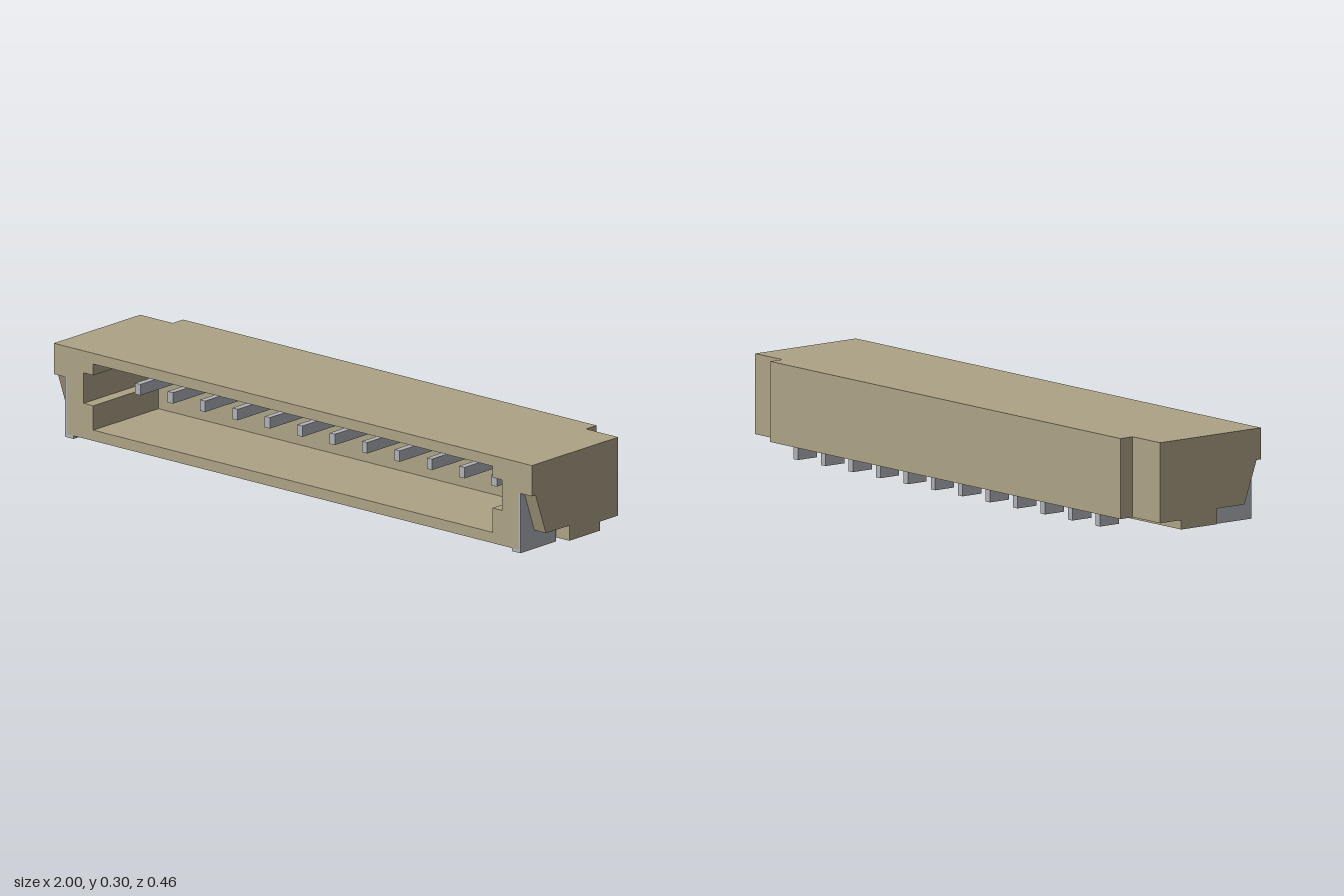
import * as THREE from 'three';

const plastic = new THREE.MeshStandardMaterial({ color: 0xaca285 });
plastic.name = 'beige plastic';
const metal = new THREE.MeshStandardMaterial({ color: 0xb0b2b8 });
metal.name = 'grey metal';

const shapeOf = (pts) => new THREE.Shape(pts.map(([a, b]) => new THREE.Vector2(a, b)));

function addMesh(parent, name, geometry, material) {
  const mesh = new THREE.Mesh(geometry, material);
  mesh.name = name;
  parent.add(mesh);
  return mesh;
}

// Extrudes a [z, y] profile along x from x0 to x1
function sideProfile(pts, x0, x1) {
  const g = new THREE.ExtrudeGeometry(shapeOf(pts), { depth: x1 - x0, bevelEnabled: false });
  return g.rotateY(-Math.PI / 2).translate(x1, 0, 0);
}

function box(x0, x1, y0, y1, z0, z1) {
  return new THREE.BoxGeometry(x1 - x0, y1 - y0, z1 - z0)
    .translate((x0 + x1) / 2, (y0 + y1) / 2, (z0 + z1) / 2);
}

export function createModel() {
  const model = new THREE.Group();
  model.name = 'pinHeaderConnector';

  const top = 0.297, bottom = 0.01, front = 0.23, cavityBack = -0.08, core = 0.945;

  // Hollow front shell with a keyed opening
  const shell = shapeOf([[-core, bottom], [core, bottom], [core, top], [-core, top]]);
  const half = [[0.835, 0.045], [0.835, 0.125], [0.875, 0.125], [0.875, 0.225], [0.835, 0.225], [0.835, 0.262]];
  const opening = [...half, ...half.map(([x, y]) => [-x, y]).reverse()];
  shell.holes.push(shapeOf(opening));
  const shellGeometry = new THREE.ExtrudeGeometry(shell, { depth: front - cavityBack, bevelEnabled: false });
  addMesh(model, 'housingShell', shellGeometry.translate(0, 0, cavityBack), plastic);

  // Solid rear with stepped underside, and the raised back panel
  addMesh(model, 'housingRear', sideProfile([
    [-0.18, 0.04], [-0.094, 0.04], [-0.094, bottom], [cavityBack, bottom], [cavityBack, top], [-0.18, top],
  ], -core, core), plastic);
  addMesh(model, 'backPanel', box(-0.865, 0.865, 0.04, top, -0.23, -0.18), plastic);

  // End cheeks with cut-outs exposing the solder tabs
  const cheek = [
    [-0.18, 0.04], [-0.094, 0.04], [-0.094, bottom], [0.052, bottom], [0.052, 0.06],
    [0.163, 0.06], [0.212, 0.196], [front, 0.196], [front, top], [-0.18, top],
  ];
  const tab = [[0.06, 0], [front, 0], [front, 0.196], [0.212, 0.196], [0.163, 0.06], [0.06, 0.06]];
  for (const [side, s] of [['left', 1], ['right', -1]]) {
    const span = (a, b) => (s > 0 ? [a, b] : [-b, -a]);
    addMesh(model, side + 'Cheek', sideProfile(cheek, ...span(core, 1)), plastic);
    addMesh(model, side + 'SolderTab', sideProfile(tab, ...span(core, 0.952)), metal);
    addMesh(model, side + 'TabFoot', box(...span(0.917, core), 0, bottom, 0.06, front), metal);
  }

  // Row of bent contact pins
  const pins = new THREE.Group();
  pins.name = 'contactPins';
  const pinGeometry = sideProfile([
    [-0.224, 0], [-0.147, 0], [-0.147, 0.154], [0.12, 0.154], [0.12, 0.19], [-0.224, 0.19],
  ], -0.011, 0.011);
  const count = 12, pitch = 0.1356;
  for (let i = 0; i < count; i++) {
    addMesh(pins, 'contactPin' + (i + 1), pinGeometry, metal).position.x = (i - (count - 1) / 2) * pitch;
  }
  model.add(pins);

  return model;
}
